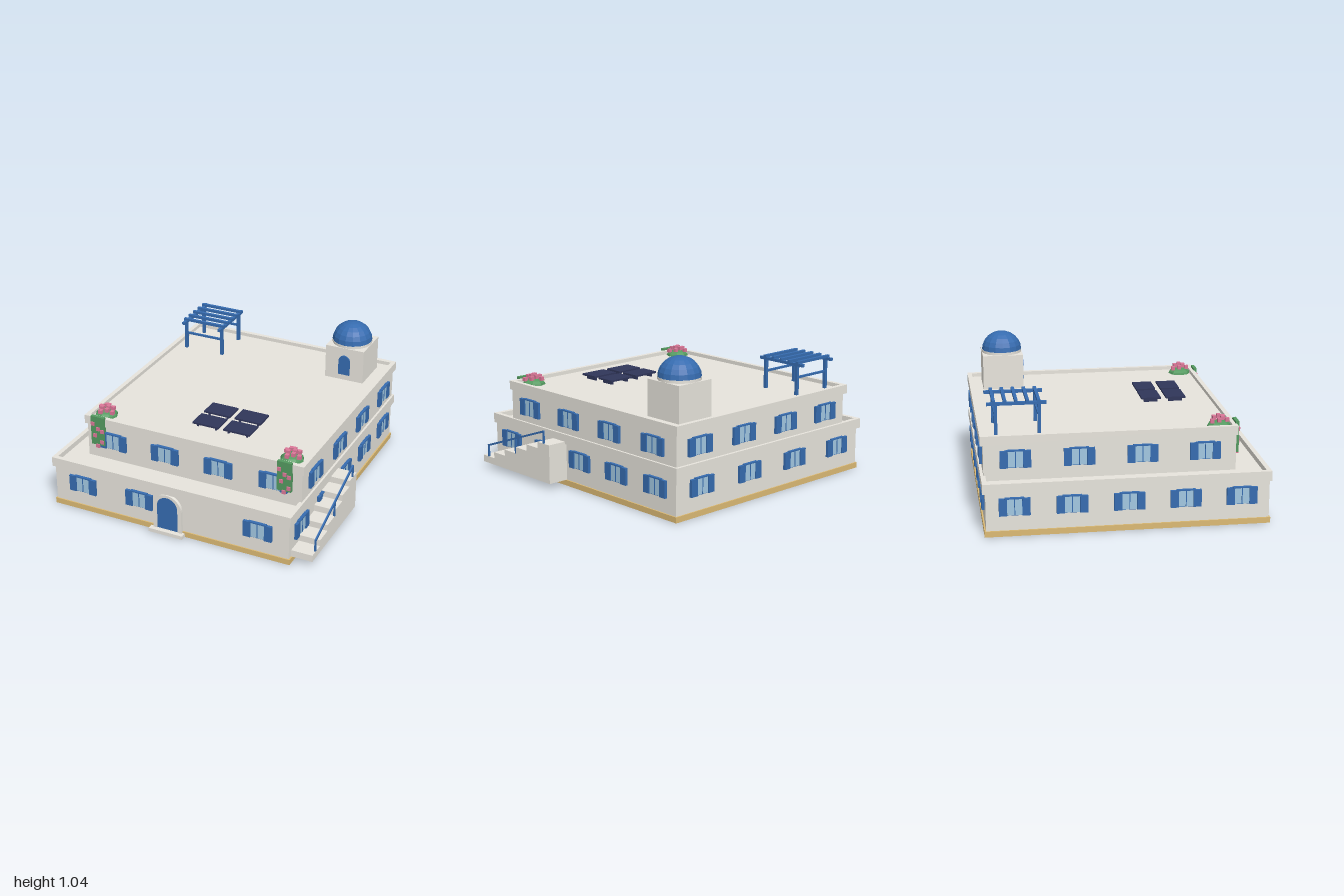
import * as THREE from 'three';

const mat = (name, color) => {
  const m = new THREE.MeshStandardMaterial({ color });
  m.name = name;
  return m;
};

export function createModel() {
  const plaster = mat('plaster', 0xeae7df);
  const sand = mat('sand', 0xdcba74);
  const blue = mat('blue paint', 0x366cb0);
  const glass = mat('glass', 0xa2c8e2);
  const green = mat('leaves', 0x549a60);
  const pink = mat('blossom', 0xdc7899);
  const navy = mat('solar panel', 0x30365a);
  const root = new THREE.Group();

  const add = (name, geo, material, parent = root) => {
    const m = new THREE.Mesh(geo, material);
    m.name = name;
    parent.add(m);
    return m;
  };
  // Box given by its extents on each axis
  const box = (name, material, x0, x1, y0, y1, z0, z1, parent = root) => {
    const m = add(name, new THREE.BoxGeometry(x1 - x0, y1 - y0, z1 - z0), material, parent);
    m.position.set((x0 + x1) / 2, (y0 + y1) / 2, (z0 + z1) / 2);
    return m;
  };
  // Round-topped outline, standing on y0
  const arch = (S, x, w, y0, top) => {
    const s = new S();
    const r = w / 2;
    s.moveTo(x - r, y0);
    s.lineTo(x + r, y0);
    s.lineTo(x + r, top - r);
    s.absarc(x, top - r, r, 0, Math.PI, false);
    s.lineTo(x - r, y0);
    return s;
  };
  const extrude = (name, shape, material, depth, z) => {
    const g = new THREE.ExtrudeGeometry(shape, { depth, bevelEnabled: false, curveSegments: 10 });
    add(name, g, material).position.z = z;
  };
  // Hollow rectangular parapet
  const parapet = (name, x0, x1, y0, y1, z0, z1) => {
    const t = 0.033;
    box(name, plaster, x0, x1, y0, y1, z1 - t, z1);
    box(name, plaster, x0, x1, y0, y1, z0, z0 + t);
    box(name, plaster, x0, x0 + t, y0, y1, z0 + t, z1 - t);
    box(name, plaster, x1 - t, x1, y0, y1, z0 + t, z1 - t);
  };

  // Plinth, two storeys and their parapets
  box('plinth', sand, -0.985, 0.845, 0, 0.04, -0.985, 0.957);
  box('lowerStorey', plaster, -0.975, 0.835, 0.04, 0.335, -0.975, 0.948);
  parapet('lowerParapet', -0.995, 0.85, 0.303, 0.373, -0.995, 0.96);
  box('upperStorey', plaster, -0.815, 0.835, 0.335, 0.625, -0.975, 0.747);
  parapet('upperParapet', -0.833, 0.85, 0.588, 0.652, -0.995, 0.757);

  // Shuttered window facing +z, its sill at y = 0
  const windowAt = (x, y, z, turn) => {
    const g = new THREE.Group();
    g.name = 'window';
    box('frame', blue, -0.065, 0.065, 0, 0.125, -0.005, 0.009, g);
    box('lintel', blue, -0.065, 0.065, 0.117, 0.126, 0, 0.022, g);
    box('pane', glass, -0.05, 0.05, 0.004, 0.117, 0.006, 0.013, g);
    box('mullion', blue, -0.003, 0.003, 0.004, 0.117, 0.008, 0.016, g);
    for (const s of [-1, 1]) {
      const sh = box('shutter', blue, -0.027, 0.027, 0, 0.12, 0, 0.02, g);
      sh.position.x = s * 0.078;
    }
    g.position.set(x, y, z);
    g.rotation.y = turn;
    root.add(g);
  };
  // Evenly spaced row of windows on each wall of a storey
  const storeyWindows = (x0, x1, z0, z1, y, nSide, skipFront) => {
    for (let i = 0; i < 4; i++) {
      const x = x0 + ((x1 - x0) * (i + 0.5)) / 4;
      if (i !== skipFront) windowAt(x, y, z1, 0);
      windowAt(x, y, z0, Math.PI);
    }
    for (let i = 0; i < nSide; i++) {
      const z = z0 + ((z1 - z0) * (i + 0.5)) / nSide;
      windowAt(x1, y, z, Math.PI / 2);
      windowAt(x0, y, z, -Math.PI / 2);
    }
  };
  storeyWindows(-0.975, 0.835, -0.975, 0.948, 0.146, 5, 2);
  storeyWindows(-0.815, 0.835, -0.975, 0.747, 0.424, 4, -1);

  // Arched front door with surround and step
  const surround = arch(THREE.Shape, -0.072, 0.218, 0.027, 0.305);
  surround.holes.push(arch(THREE.Path, -0.072, 0.16, 0.028, 0.285));
  extrude('doorSurround', surround, plaster, 0.03, 0.94);
  extrude('frontDoor', arch(THREE.Shape, -0.072, 0.16, 0.028, 0.285), blue, 0.02, 0.945);
  box('doorStep', plaster, -0.205, 0.056, 0, 0.027, 0.95, 1);

  // Outside staircase with a handrail
  for (let i = 0; i < 6; i++) {
    const z1 = 0.91 - i * 0.1287;
    box('stair', plaster, 0.835, 0.99, 0.04, 0.09 + i * 0.046, z1 - 0.1287, z1);
  }
  const railA = new THREE.Vector3(0.985, 0.172, 0.855);
  const railB = new THREE.Vector3(0.985, 0.408, 0.2);
  const rail = add('handrail', new THREE.BoxGeometry(0.012, 0.014, railA.distanceTo(railB)), blue);
  rail.position.copy(railA).lerp(railB, 0.5);
  rail.rotation.x = Math.atan2(railB.y - railA.y, railA.z - railB.z);
  for (const [z, y0, y1] of [[0.85, 0.09, 0.175], [0.525, 0.18, 0.29], [0.203, 0.32, 0.407]])
    box('railPost', blue, 0.979, 0.991, y0, y1, z - 0.006, z + 0.006);

  // Domed roof house
  box('domeHouse', plaster, 0.436, 0.734, 0.62, 0.88, -0.892, -0.594);
  const collar = add('domeCollar', new THREE.CylinderGeometry(0.148, 0.148, 0.03, 16), plaster);
  collar.position.set(0.585, 0.885, -0.743);
  const domeGeo = new THREE.SphereGeometry(0.147, 16, 6, 0, Math.PI * 2, 0, Math.PI / 2).toNonIndexed();
  domeGeo.computeVertexNormals();
  const dome = add('dome', domeGeo, blue);
  dome.scale.y = 0.92;
  dome.position.set(0.585, 0.9, -0.743);
  extrude('domeHouseDoor', arch(THREE.Shape, 0.586, 0.088, 0.67, 0.822), blue, 0.014, -0.597);

  // Pergola
  for (const x of [-0.722, -0.42]) {
    for (const z of [-0.587, -0.88])
      box('pergolaPost', blue, x - 0.011, x + 0.011, 0.62, 0.84, z - 0.011, z + 0.011);
    box('pergolaBeam', blue, x - 0.012, x + 0.012, 0.833, 0.853, -0.94, -0.537);
  }
  for (let i = 0; i < 5; i++) {
    const z = -0.59 - i * 0.0755;
    box('pergolaSlat', blue, -0.741, -0.401, 0.85, 0.869, z - 0.011, z + 0.011);
  }
  for (const z of [-0.587, -0.88])
    box('pergolaRail', blue, -0.722, -0.42, 0.743, 0.758, z - 0.007, z + 0.007);

  // Solar panels on low feet
  for (const x of [0.008, 0.247])
    for (const z of [0.285, 0.465]) {
      box('solarPanel', navy, x - 0.101, x + 0.101, 0.65, 0.663, z - 0.071, z + 0.071);
      for (const s of [-1, 1])
        box('panelFoot', navy, x + s * 0.07 - 0.006, x + s * 0.07 + 0.006, 0.62, 0.652, z - 0.05, z + 0.05);
    }

  // Flowering bushes with vines hanging over the front parapet
  const bushGeo = new THREE.SphereGeometry(0.085, 8, 4, 0, Math.PI * 2, 0, Math.PI / 2).toNonIndexed();
  bushGeo.computeVertexNormals();
  const flowerGeo = new THREE.BoxGeometry(0.027, 0.027, 0.027);
  const hanging = [[-0.035, 0.61], [0.005, 0.575], [0.037, 0.56], [-0.02, 0.52], [0.035, 0.475], [0, 0.44]];
  for (const cx of [-0.72, 0.715]) {
    const plant = new THREE.Group();
    plant.name = 'floweringPlant';
    plant.position.x = cx;
    root.add(plant);
    const bush = add('bush', bushGeo, green, plant);
    bush.position.set(0, 0.622, 0.645);
    bush.scale.y = 0.55;
    box('vine', green, -0.053, 0.053, 0.445, 0.667, 0.75, 0.775, plant);
    for (const [x, y] of hanging)
      add('flower', flowerGeo, pink, plant).position.set(x, y, 0.77);
    for (let i = 0; i < 9; i++) {
      const a = i * 2.4;
      const r = 0.022 + 0.0055 * i;
      add('flower', flowerGeo, pink, plant)
        .position.set(Math.cos(a) * r, 0.69 - 0.003 * i, 0.645 + Math.sin(a) * r);
    }
  }
  return root;
}
